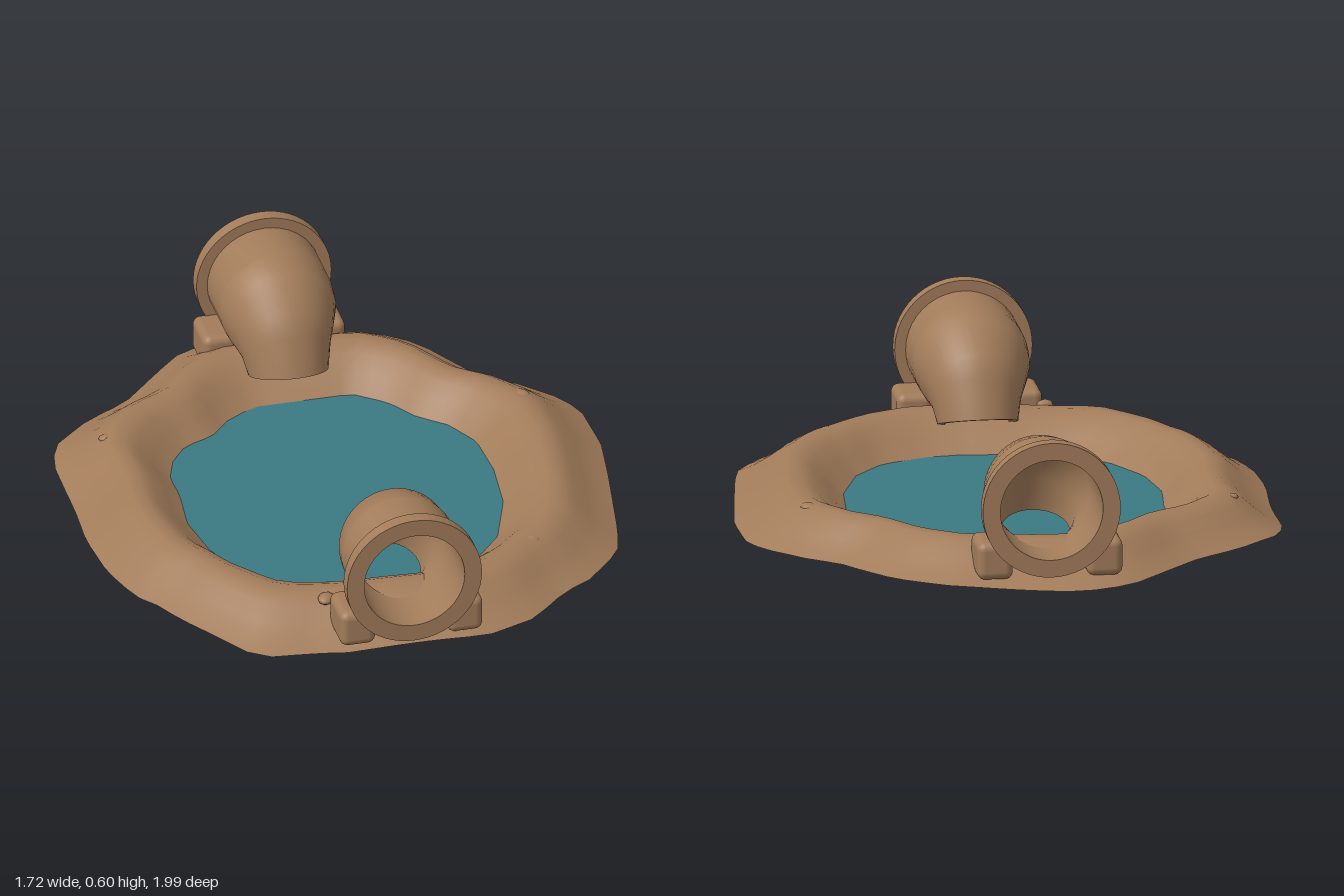
import * as THREE from 'three';
import { RoundedBoxGeometry } from 'three/addons/geometries/RoundedBoxGeometry.js';

const clay = new THREE.MeshStandardMaterial({ color: 0xa27c5a, side: THREE.DoubleSide });
clay.name = 'clay brown';
const teal = new THREE.MeshStandardMaterial({ color: 0x3a7882, side: THREE.DoubleSide });
teal.name = 'water teal';

// Ground outlines as x, z pairs
const OUTER = [
  [0.86, -0.08], [0.83, 0.13], [0.78, 0.45], [0.75, 0.57], [0.62, 0.72], [0.52, 0.78], [0.39, 0.91],
  [0.22, 0.98], [-0.02, 0.97], [-0.25, 0.96], [-0.34, 0.93], [-0.46, 0.93], [-0.54, 0.88], [-0.7, 0.64],
  [-0.74, 0.55], [-0.8, 0.47], [-0.85, 0.3], [-0.865, 0.1], [-0.85, -0.1], [-0.85, -0.38], [-0.82, -0.48],
  [-0.68, -0.61], [-0.53, -0.7], [-0.37, -0.87], [-0.28, -0.96], [-0.12, -1], [0.2, -0.94], [0.32, -0.91],
  [0.45, -0.81], [0.6, -0.57], [0.68, -0.52], [0.8, -0.39], [0.85, -0.3],
];
const SHORE = [
  [0.49, 0], [0.47, 0.2], [0.4, 0.4], [0.3, 0.52], [0.15, 0.58], [0.05, 0.59], [-0.05, 0.58], [-0.2, 0.57],
  [-0.33, 0.52], [-0.42, 0.42], [-0.5, 0.27], [-0.53, 0.08], [-0.51, -0.1], [-0.515, -0.2], [-0.48, -0.3],
  [-0.42, -0.38], [-0.32, -0.42], [-0.25, -0.5], [-0.15, -0.56], [0.05, -0.56], [0.17, -0.56], [0.27, -0.48],
  [0.33, -0.38], [0.42, -0.3], [0.48, -0.18],
];

// Radius of an outline along a direction
function radiusAt(outline, a) {
  const c = Math.cos(a), s = Math.sin(a);
  for (let i = 0; i < outline.length; i++) {
    const [x0, z0] = outline[i], [x1, z1] = outline[(i + 1) % outline.length];
    const side0 = c * z0 - s * x0, side1 = c * z1 - s * x1;
    if (side0 <= 0 && side1 > 0) {
      const t = side0 / (side0 - side1);
      return Math.hypot(x0 + (x1 - x0) * t, z0 + (z1 - z0) * t);
    }
  }
  return 0.5;
}

// Smooth surface through closed rings of points
function loft(rings) {
  const n = rings[0].length, index = [];
  for (let i = 0; i < rings.length - 1; i++) {
    for (let j = 0; j < n; j++) {
      const k = (j + 1) % n;
      const p = i * n + j, r = i * n + k, q = p + n, s = r + n;
      index.push(p, q, r, r, q, s);
    }
  }
  const g = new THREE.BufferGeometry();
  g.setAttribute('position', new THREE.Float32BufferAttribute(rings.flat(2), 3));
  g.setIndex(index);
  g.computeVertexNormals();
  return g;
}

function add(parent, name, geometry, material) {
  const mesh = new THREE.Mesh(geometry, material);
  mesh.name = name;
  parent.add(mesh);
  return mesh;
}

const SEG = 80;
const around = (fn) => Array.from({ length: SEG }, (_, j) => fn((j / SEG) * Math.PI * 2));

// Ring of the bank: t = 0 at the shore, 1 at the outer edge
const bankRing = (t, y) => around((a) => {
  const r = THREE.MathUtils.lerp(radiusAt(SHORE, a), radiusAt(OUTER, a), t);
  const wave = 0.005 * Math.sin(5 * a + 1) * t + 0.003 * Math.sin(9 * a) * t;
  return [r * Math.cos(a), y + wave, r * Math.sin(a)];
});
// Ring inside the shore, scaled towards the middle
const basinRing = (f, y) => around((a) => {
  const r = radiusAt(SHORE, a) * f;
  return [r * Math.cos(a), y, r * Math.sin(a)];
});

// Elbow pipe whose mouth faces +z and whose end turns down into the basin
function pipe() {
  const group = new THREE.Group();
  const bends = [[0, 0.185], [14, 0.18], [33, 0.157], [46, 0.142], [71, 0.128]];
  const ring = (deg, r, wall, z = 0.79) => {
    const th = THREE.MathUtils.degToRad(deg);
    return Array.from({ length: 40 }, (_, j) => {
      const a = (j / 40) * Math.PI * 2;
      const d = 0.025 + r + (r - wall) * Math.cos(a);
      return [(r - wall) * Math.sin(a), 0.17 + d * Math.cos(th), z - d * Math.sin(th)];
    });
  };
  const wall = 0.021;
  add(group, 'pipeBody', loft([ring(0, 0.185, 0, 0.96), ring(0, 0.185, 0, 0.8)]), clay);
  add(group, 'pipeElbow', loft([ring(0, 0.185, 0, 0.8), ...bends.map(([d, r]) => ring(d, r, 0))]), clay);
  add(group, 'pipeBore', loft([ring(0, 0.185, wall, 0.99), ...bends.map(([d, r]) => ring(d, r, wall))]), clay);
  add(group, 'pipeEnd', loft([ring(71, 0.128, 0), ring(71, 0.128, wall)]), clay);

  // Flange around the mouth
  const shape = new THREE.Shape().absarc(0, 0, 0.22, 0, Math.PI * 2);
  shape.holes.push(new THREE.Path().absarc(0, 0, 0.164, 0, Math.PI * 2, true));
  const flange = add(group, 'pipeFlange',
    new THREE.ExtrudeGeometry(shape, { depth: 0.045, bevelEnabled: false, curveSegments: 28 }), clay);
  flange.position.set(0, 0.38, 0.955);

  // Supporting blocks on both sides
  for (const side of [-1, 1]) {
    const block = add(group, 'supportBlock', new RoundedBoxGeometry(0.115, 0.122, 0.165, 3, 0.026), clay);
    block.position.set(side * 0.175, 0.21, 0.894);
  }
  return group;
}

export function createModel() {
  const model = new THREE.Group();
  model.name = 'pond';

  // Raised bank and basin as one thin shell
  const bank = [[1, 0.127], [0.87, 0.15], [0.75, 0.18], [0.63, 0.215], [0.52, 0.238], [0.4, 0.24],
    [0.28, 0.218], [0.15, 0.178], [0, 0.13]];
  const basin = [[0.9, 0.096], [0.78, 0.062], [0.63, 0.033], [0.45, 0.016], [0.25, 0.004], [0.001, 0]];
  add(model, 'pondShell', loft([
    ...bank.map(([t, y]) => bankRing(t, y)),
    ...basin.map(([f, y]) => basinRing(f, y)),
  ]), clay);

  // Water surface
  add(model, 'water', loft([basinRing(1, 0.131), basinRing(0.001, 0.131)]), teal);

  // Inlet and outlet pipes
  const front = pipe();
  front.name = 'frontPipe';
  front.position.x = -0.025;
  const back = pipe();
  back.name = 'backPipe';
  back.rotation.y = Math.PI;
  back.position.set(-0.025, 0, 0.04);
  model.add(front, back);

  // Small pebbles on the bank
  const pebbles = [[0.46, 0.225, 0.6, 0.03], [-0.26, 0.228, 0.79, 0.032],
    [0.65, 0.225, -0.27, 0.032], [-0.69, 0.225, -0.34, 0.022]];
  pebbles.forEach(([x, y, z, r], i) => {
    const pebble = add(model, 'pebble', new THREE.SphereGeometry(r, 10, 8), clay);
    pebble.position.set(x, y, z);
    pebble.scale.set(1, 0.5, 0.8);
    pebble.rotation.y = i;
  });
  return model;
}
